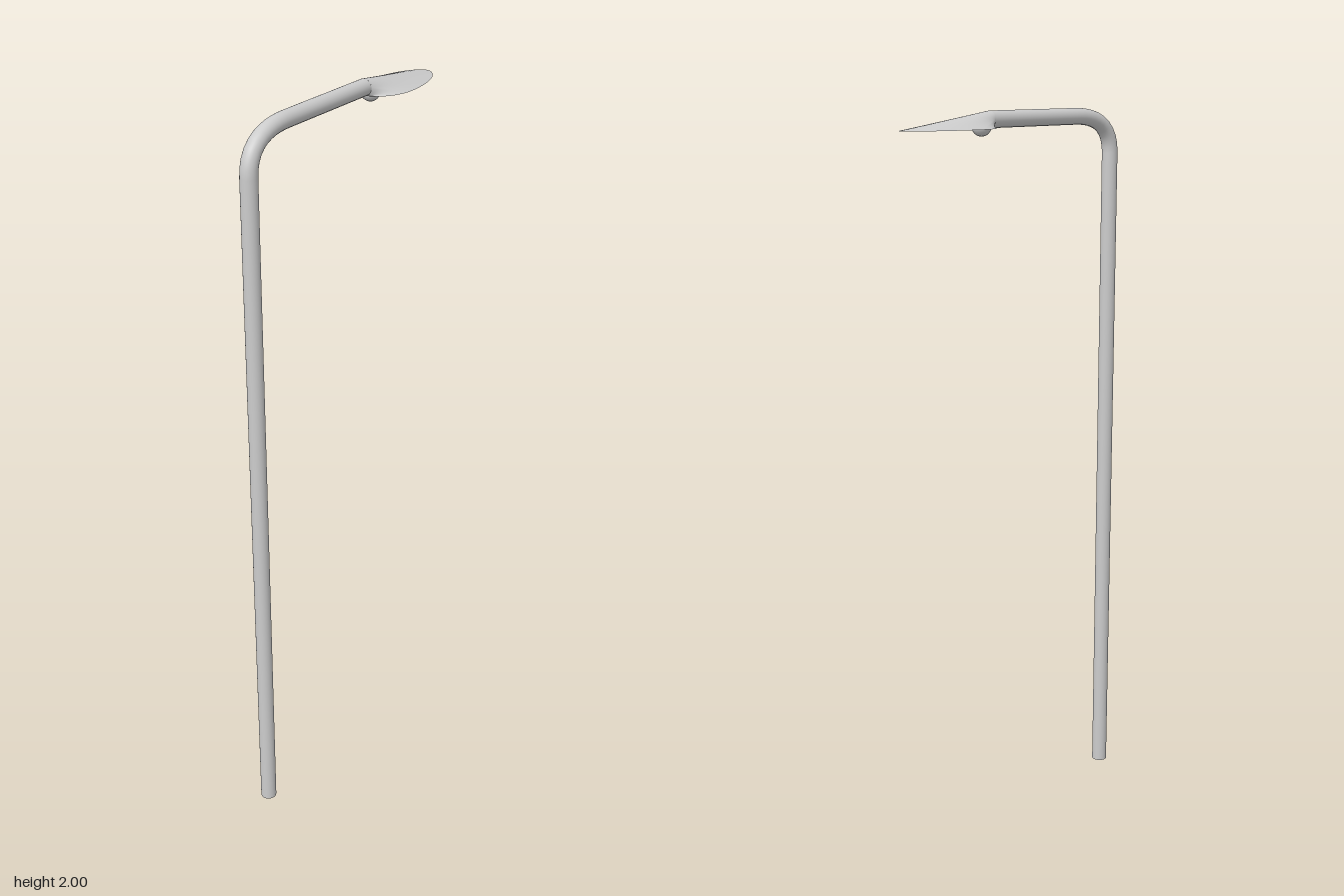
import * as THREE from 'three';

const R = 0.022;          // pole radius
const POLE_Z = 0.385;
const ARM_Y = 2 - R;
const NECK_Z = -0.1;      // where the arm meets the lamp head
const TIP_Z = -0.407;
const WIDE_Z = -0.207;    // widest point of the head
const HALF_W = 0.077;
const RIM_Y = 1.957;

// egg-shaped rim: angle 0 at the neck, PI at the tip
function rim(a) {
  const c = Math.cos(a), s = Math.sin(a);
  const z = WIDE_Z + c * (c > 0 ? NECK_Z - WIDE_Z : WIDE_Z - TIP_Z);
  const w = HALF_W * Math.pow(Math.abs(s), c > 0 ? 1 : 1.15) * Math.sign(s);
  return new THREE.Vector3(w, RIM_Y, z);
}

// hood: straight rulings from the round arm end to the egg-shaped rim
function hoodGeometry(around = 64, rows = 8) {
  const pos = [], index = [];
  for (let j = 0; j <= rows; j++) {
    for (let i = 0; i <= around; i++) {
      const a = (i / around) * Math.PI * 2;
      const p = new THREE.Vector3(R * Math.sin(a), ARM_Y - R * Math.cos(a), NECK_Z);
      p.lerp(rim(a), j / rows);
      pos.push(p.x, p.y, p.z);
      if (i < around && j < rows) {
        const k = j * (around + 1) + i, n = k + around + 1;
        index.push(k, k + 1, n, k + 1, n + 1, n);
      }
    }
  }
  const g = new THREE.BufferGeometry();
  g.setAttribute('position', new THREE.Float32BufferAttribute(pos, 3));
  g.setIndex(index);
  g.computeVertexNormals();
  return g;
}

export function createModel() {
  const group = new THREE.Group();
  const material = new THREE.MeshStandardMaterial({ color: 0xcccccc });
  const thin = new THREE.MeshStandardMaterial({ color: 0xcccccc, side: THREE.DoubleSide });
  const add = (name, geometry, mat = material) => {
    const mesh = new THREE.Mesh(geometry, mat);
    mesh.name = name;
    group.add(mesh);
    return mesh;
  };

  // upright pole
  const bendY = 1.875, bendZ = 0.235;
  add('pole', new THREE.CylinderGeometry(R, R, bendY, 32)).position.set(0, bendY / 2, POLE_Z);

  // curved shoulder
  const bend = new THREE.QuadraticBezierCurve3(
    new THREE.Vector3(0, bendY, POLE_Z),
    new THREE.Vector3(0, ARM_Y, POLE_Z),
    new THREE.Vector3(0, ARM_Y, bendZ));
  add('bend', new THREE.TubeGeometry(bend, 10, R, 32));

  // horizontal arm
  const arm = add('arm', new THREE.CylinderGeometry(R, R, bendZ - NECK_Z, 32));
  arm.rotation.x = Math.PI / 2;
  arm.position.set(0, ARM_Y, (bendZ + NECK_Z) / 2);

  // lamp head: hood and its flat underside
  add('hood', hoodGeometry(), thin);
  const outline = Array.from({ length: 64 }, (_, i) => {
    const p = rim((i / 64) * Math.PI * 2);
    return new THREE.Vector2(p.x, p.z);
  });
  const under = new THREE.ShapeGeometry(new THREE.Shape(outline));
  under.rotateX(Math.PI / 2);
  add('underside', under, thin).position.y = RIM_Y;

  // small round sensor below the neck
  add('sensor', new THREE.SphereGeometry(0.026, 24, 16)).position.set(0, 1.962, -0.13);

  return group;
}
